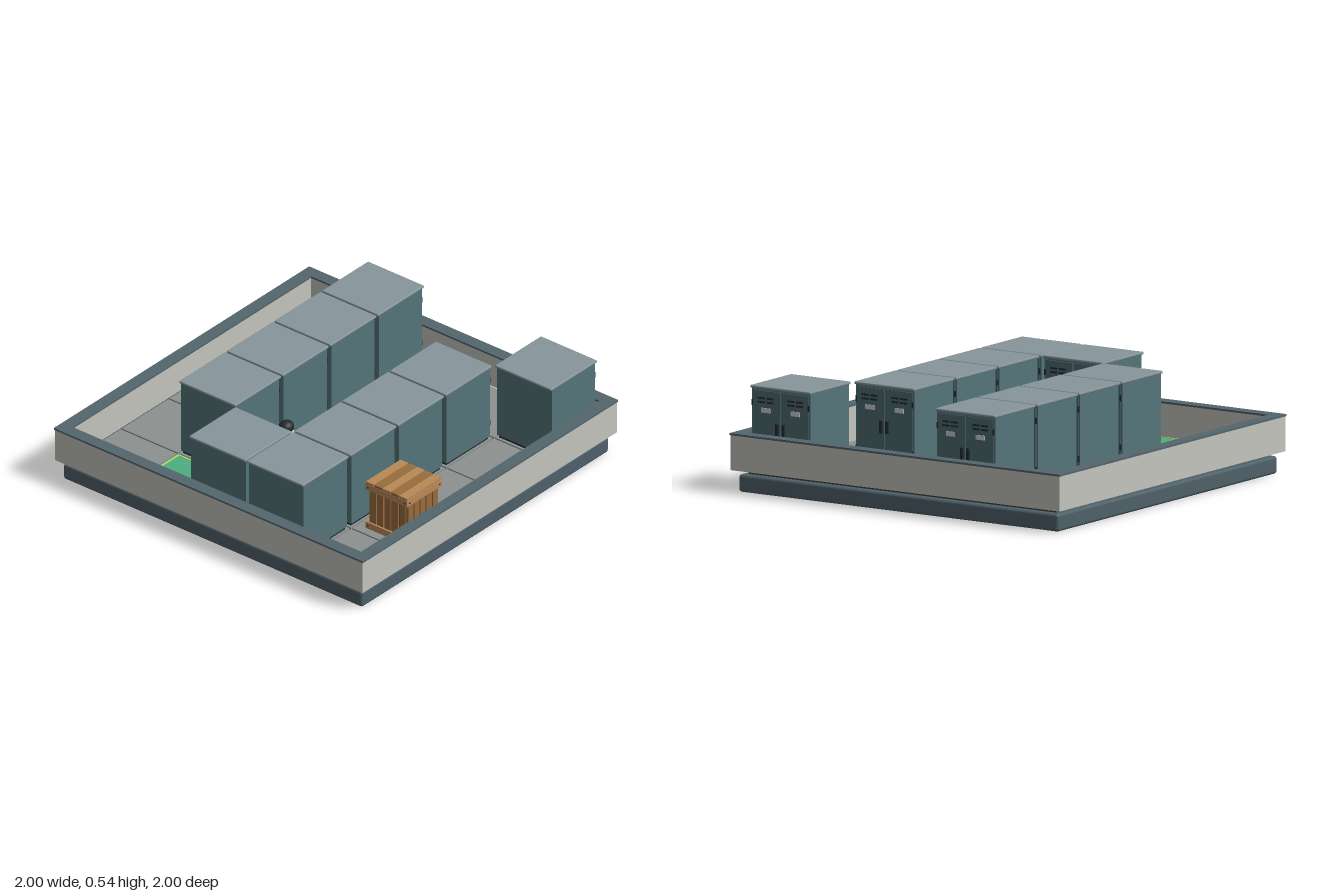
import * as THREE from 'three';
import { RoundedBoxGeometry } from 'three/addons/geometries/RoundedBoxGeometry.js';

const mat = (color) => new THREE.MeshStandardMaterial({ color });
const M = {
  base: mat(0x4f616a), seam: mat(0x3a4442), wall: mat(0xc4c5be), cap: mat(0x53666d),
  tile: mat(0x8d918f), steel: mat(0x55757a), door: mat(0x4d6b70), top: mat(0x87959b),
  dark: mat(0x22292d), label: mat(0xc9cfcd), green: mat(0x4fae7f), lime: mat(0xb4e06a),
  wood: mat(0x9a6c3e), woodLight: mat(0xb98a58), woodDark: mat(0x5c3d22), white: mat(0xd6d9d8),
};
const CELL = 0.373, FLOOR = 0.115;

function add(parent, name, geometry, material, x, y, z) {
  const mesh = new THREE.Mesh(geometry, material);
  mesh.name = name;
  mesh.position.set(x, y, z);
  parent.add(mesh);
  return mesh;
}
const box = (p, name, m, w, h, d, x, y, z) =>
  add(p, name, new THREE.BoxGeometry(w, h, d), m, x, y, z);
const rbox = (p, name, m, w, h, d, x, y, z, r = 0.01) =>
  add(p, name, new RoundedBoxGeometry(w, h, d, 2, r), m, x, y, z);

function group(parent, name, x = 0, y = 0, z = 0) {
  const g = new THREE.Group();
  g.name = name;
  g.position.set(x, y, z);
  parent.add(g);
  return g;
}

// Two-door locker, doors towards -z
function locker(parent, x, z) {
  const g = group(parent, 'locker', x, FLOOR, z + 0.004);
  box(g, 'plinth', M.dark, 0.34, 0.02, 0.325, 0, 0.01, 0);
  box(g, 'lockerBody', M.steel, 0.355, 0.397, 0.338, 0, 0.2135, 0);
  rbox(g, 'lockerTop', M.top, 0.364, 0.014, 0.362, 0, 0.419, 0, 0.005);
  for (const s of [-1, 1]) {
    box(g, 'door', M.door, 0.164, 0.375, 0.008, s * 0.086, 0.215, -0.171);
    for (const y of [0.365, 0.345, 0.085, 0.065])
      for (const dx of [-0.026, 0.026])
        box(g, 'vent', M.dark, 0.042, 0.009, 0.004, s * 0.09 + dx, y, -0.176);
    box(g, 'labelPlate', M.label, 0.055, 0.024, 0.004, s * 0.09, 0.304, -0.176);
    rbox(g, 'handle', M.dark, 0.018, 0.065, 0.014, s * 0.019, 0.212, -0.18, 0.004);
    for (const y of [0.09, 0.34])
      box(g, 'hinge', M.dark, 0.008, 0.03, 0.006, s * 0.17, y, -0.175);
  }
}

// Slatted wooden crate
function crate(parent, x, z) {
  const g = group(parent, 'crate', x, FLOOR, z);
  box(g, 'crateCore', M.woodDark, 0.235, 0.25, 0.235, 0, 0.13, 0);
  for (let i = 0; i < 5; i++)
    box(g, 'lidPlank', i % 2 ? M.wood : M.woodLight, 0.05, 0.014, 0.27, (i - 2) * 0.0535, 0.264, 0);
  for (let k = 0; k < 4; k++) {
    const side = group(g, 'crateSide');
    side.rotation.y = k * Math.PI / 2;
    for (let i = 0; i < 5; i++)
      box(side, 'sideSlat', M.wood, 0.04, 0.235, 0.012, (i - 2) * 0.048, 0.12, 0.12);
    for (const [y, h] of [[0.24, 0.034], [0.018, 0.036]]) {
      box(side, 'rail', M.woodLight, 0.27, h, 0.014, 0, y, 0.129);
      for (const s of [-1, 1])
        add(side, 'nail', new THREE.SphereGeometry(0.005, 8, 6), M.dark, s * 0.118, y, 0.136);
    }
  }
}

// Small wheeled robot
function robot(parent, x, z) {
  const g = group(parent, 'robot', x, FLOOR, z);
  rbox(g, 'chassis', M.dark, 0.14, 0.05, 0.19, 0, 0.055, 0, 0.012);
  rbox(g, 'robotBody', M.white, 0.155, 0.15, 0.17, 0, 0.145, 0, 0.014);
  box(g, 'rearPanel', M.dark, 0.13, 0.09, 0.012, 0, 0.14, -0.09);
  add(g, 'neck', new THREE.CylinderGeometry(0.016, 0.022, 0.05, 16), M.dark, 0, 0.24, 0.015);
  const head = add(g, 'head', new THREE.SphereGeometry(0.037, 24, 16), M.dark, 0, 0.295, 0.015);
  head.scale.set(1, 0.9, 1.12);
  for (const s of [-1, 1]) {
    for (const wz of [-0.058, 0.062]) {
      const wheel = add(g, 'wheel', new THREE.CylinderGeometry(0.042, 0.042, 0.03, 24), M.dark, s * 0.091, 0.042, wz);
      wheel.rotation.z = Math.PI / 2;
      const hub = add(g, 'hub', new THREE.CylinderGeometry(0.018, 0.018, 0.034, 16), M.label, s * 0.091, 0.042, wz);
      hub.rotation.z = Math.PI / 2;
    }
    box(g, 'sideRail', M.dark, 0.012, 0.02, 0.14, s * 0.083, 0.085, 0);
  }
}

export function createModel() {
  const model = new THREE.Group();
  model.name = 'lockerRoom';

  // Base and floor tiles
  rbox(model, 'base', M.base, 1.935, 0.09, 1.935, 0, 0.045, 0, 0.015);
  box(model, 'floorSeams', M.seam, 1.86, 0.016, 1.86, 0, 0.096, 0);
  const floor = group(model, 'floor');
  for (let i = -2; i <= 2; i++)
    for (let j = -2; j <= 2; j++)
      box(floor, 'tile', M.tile, 0.364, 0.027, 0.364, i * CELL, FLOOR - 0.0135, j * CELL);

  // Perimeter walls with dark caps
  const walls = group(model, 'walls');
  for (const s of [-1, 1]) {
    box(walls, 'sideWall', M.wall, 0.06, 0.178, 1.992, s * 0.966, 0.201, 0);
    box(walls, 'endWall', M.wall, 1.872, 0.178, 0.06, 0, 0.201, s * 0.966);
    box(walls, 'sideCap', M.cap, 0.067, 0.01, 2, s * 0.9665, 0.295, 0);
    box(walls, 'endCap', M.cap, 1.866, 0.01, 0.067, 0, 0.295, s * 0.9665);
  }

  // Marked goal tile with bright border
  const goal = group(model, 'goalTile', -CELL, FLOOR, 2 * CELL);
  box(goal, 'goalPad', M.green, 0.356, 0.008, 0.356, 0, 0.002, 0);
  for (const s of [-1, 1]) {
    box(goal, 'goalBorder', M.lime, 0.342, 0.004, 0.009, 0, 0.007, s * 0.167);
    box(goal, 'goalBorder', M.lime, 0.009, 0.004, 0.325, s * 0.167, 0.007, 0);
  }

  // Lockers by grid column and row
  const cells = [[-1, -2], [2, -2], [-1, -1], [1, -1], [-1, 0], [1, 0], [-1, 1], [1, 1], [0, 2], [1, 2]];
  for (const [i, j] of cells) locker(model, i * CELL, j * CELL);

  crate(model, 2 * CELL, CELL);
  robot(model, 0, CELL);
  return model;
}
